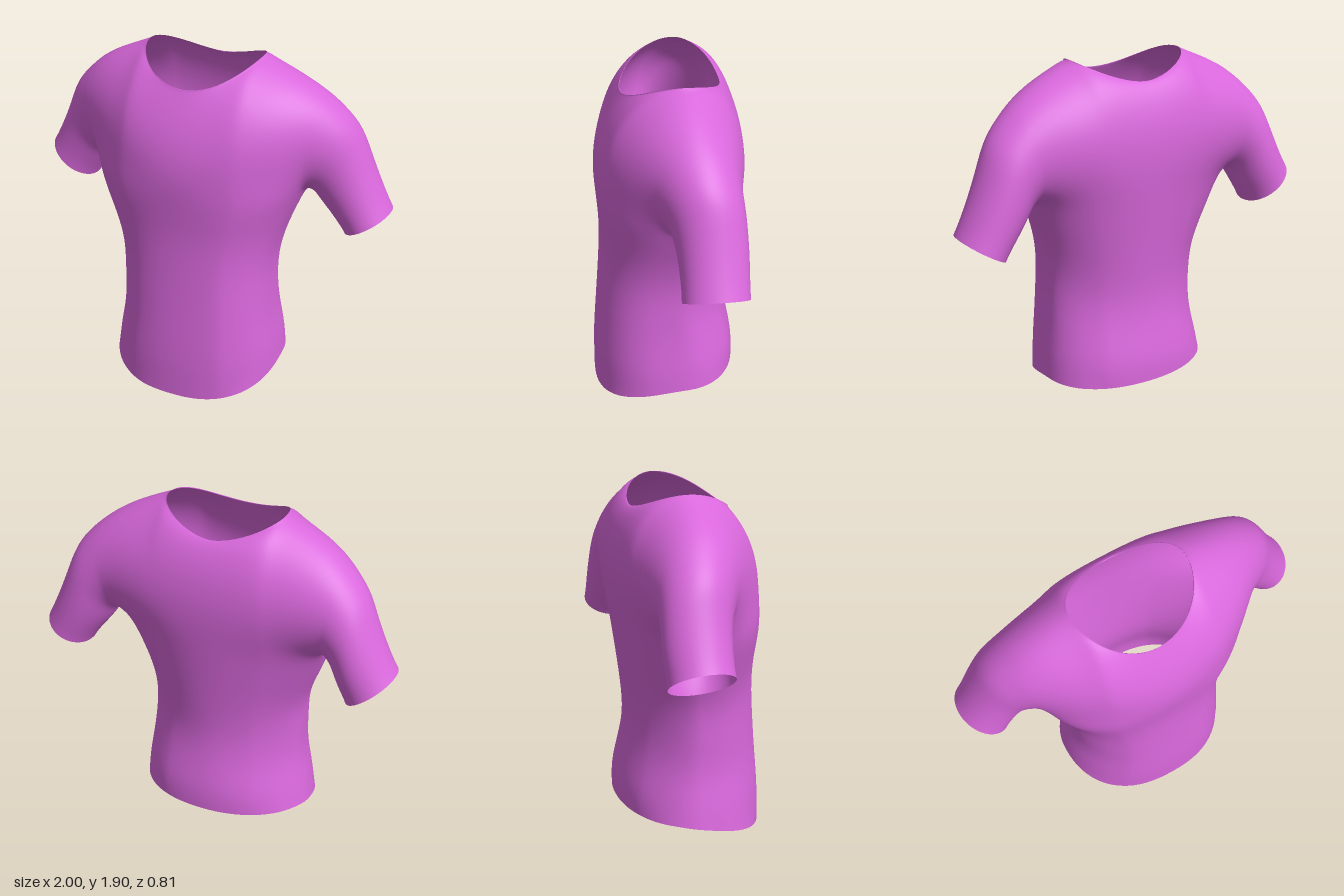
import * as THREE from 'three';
import { mergeVertices } from 'three/addons/utils/BufferGeometryUtils.js';

// Torso outline every 0.2 in height: left width, right width, front z, back z, side z,
// then roundness of the front left, front right, back left and back right quarters
const TORSO = [
  [0.455, 0.52, 0.405, -0.35, -0.03, 2.5, 2.25, 2.2, 2.0],
  [0.459, 0.503, 0.407, -0.396, -0.03, 2.6, 2.25, 2.35, 2.0],
  [0.432, 0.458, 0.392, -0.357, -0.02, 2.8, 2.25, 2.2, 1.85],
  [0.42, 0.46, 0.376, -0.331, -0.02, 2.9, 2.25, 1.85, 1.8],
  [0.422, 0.468, 0.362, -0.345, -0.03, 2.8, 2.25, 1.85, 1.85],
  [0.475, 0.545, 0.355, -0.367, -0.06, 2.7, 2.35, 1.85, 1.85],
  [0.55, 0.608, 0.372, -0.39, -0.1, 2.7, 2.7, 1.8, 1.8],
];
// Sections from neck to cuff: ridge x, y, z, underside x, y, front z, back z.
// The fourth row is the armpit, where the section closes into a sleeve.
const LEFT = [
  [0.3, 1.905, -0.08, 0.3, 1.2, 0.33, -0.39],
  [0.42, 1.855, -0.08, 0.42, 1.2, 0.268, -0.37],
  [0.55, 1.79, -0.09, 0.51, 1.2, 0.185, -0.345],
  [0.67, 1.705, -0.11, 0.55, 1.2, 0.11, -0.335],
  [0.785, 1.595, -0.13, 0.59, 1.19, 0.055, -0.34],
  [0.84, 1.485, -0.15, 0.63, 1.12, 0.025, -0.345],
  [0.905, 1.31, -0.16, 0.69, 1.05, 0.008, -0.348],
  [1.0, 1.1, -0.17, 0.76, 0.955, 0, -0.34],
];
const RIGHT = [
  [0.345, 1.905, -0.08, 0.345, 1.2, 0.31, -0.385],
  [0.47, 1.855, -0.08, 0.46, 1.2, 0.242, -0.365],
  [0.6, 1.79, -0.09, 0.56, 1.2, 0.16, -0.345],
  [0.7, 1.71, -0.11, 0.605, 1.2, 0.1, -0.335],
  [0.805, 1.605, -0.13, 0.64, 1.19, 0.05, -0.34],
  [0.855, 1.5, -0.15, 0.67, 1.14, 0.022, -0.345],
  [0.915, 1.36, -0.16, 0.7, 1.08, 0.008, -0.352],
  [1.0, 1.19, -0.17, 0.75, 0.995, 0, -0.34],
];
const ARMPIT = 3, ARMPIT_Y = 1.2, ROWS = 28;
const { lerp, clamp } = THREE.MathUtils;

// Smooth interpolation between the rows of a table
function sample(rows, t) {
  const last = rows.length - 1;
  t = clamp(t, 0, last);
  const i = Math.min(Math.floor(t), last - 1), f = t - i;
  const b = rows[i], c = rows[i + 1];
  const a = rows[Math.max(i - 1, 0)], d = rows[Math.min(i + 2, last)];
  return b.map((p, k) => {
    const m = (c[k] - a[k]) / 2, n = (d[k] - p) / 2, e = c[k] - p;
    return p + f * (m + f * (3 * e - 2 * m - n + f * (m + n - 2 * e)));
  });
}

// Point on the torso ring at height y; u runs -1..1 across, face is 1 front or -1 back
function torsoPoint(u, y, face) {
  const [l, r, zf, zb, zs, ...roundness] = sample(TORSO, y / 0.2);
  const n = roundness[(face > 0 ? 0 : 2) + (u > 0 ? 0 : 1)];
  const bulge = Math.pow(Math.max(0, 1 - Math.pow(Math.abs(u), n)), 1 / n);
  return [u * (u > 0 ? l : r), y, lerp(zs, face > 0 ? zf : zb, bulge)];
}

// Hem dips towards the front, a little more on the right
const hemY = (x, z) => 0.135 - 0.135 * Math.pow(clamp((z - 0.1 * x + 0.12) / 0.52, 0, 1), 1.4);

// One column between neck and cuff
function sideColumn(side, w) {
  const rows = side > 0 ? LEFT : RIGHT;
  const [tx, ty, tz, bx, by, zf, zb] = sample(rows, w);
  const u = side * Math.min(1, bx / rows[ARMPIT][3]);
  const open = clamp((ARMPIT - w) / ARMPIT, 0, 1);
  const make = (face) => ({
    top: [side * tx, ty, tz],
    bottom: w < ARMPIT ? torsoPoint(u, ARMPIT_Y, face)
      : [side * bx, by, lerp(-0.1, -0.17, (w - ARMPIT) / 4)],
    bulge: face > 0 ? zf : zb, open,
    peak: 0.5 - open * (face > 0 ? 0.2 : 0.1), low: 1 + open, high: 1 + 0.2 * open,
  });
  return { u, w, faces: { 1: make(1), [-1]: make(-1) } };
}

// One column below the neckline; k runs -1..1 across the opening
function neckColumn(k) {
  const corner = k > 0 ? LEFT[0] : RIGHT[0];
  const cx = (LEFT[0][0] - RIGHT[0][0]) / 2, r = (LEFT[0][0] + RIGHT[0][0]) / 2;
  const x = cx + r * k, dip = 1 - k * k, round = Math.sqrt(dip);
  const u = x > 0 ? x / LEFT[ARMPIT][3] : x / RIGHT[ARMPIT][3];
  const drop = { 1: 0.135 * dip, [-1]: 0.105 * (1 - Math.pow(Math.abs(k), 1.6)) };
  const make = (face) => ({
    top: [x, 1.905 - drop[face], lerp(-0.08, face > 0 ? 0.23 : -0.29, round)],
    bottom: torsoPoint(u, ARMPIT_Y, face),
    bulge: face > 0 ? lerp(corner[5], 0.382, dip) : lerp(corner[6], -0.409, dip), open: 1,
    peak: face > 0 ? lerp(0.3, 0.2, dip) : 0.4, low: 2, high: 1.2 + dip * (face > 0 ? 1.1 : 0.1),
  });
  return { u, w: 0, faces: { 1: make(1), [-1]: make(-1) } };
}

// Curve from the underside or chest line up to the ridge or neckline
function archPoint({ top, bottom, bulge, open, peak, low, high }, v) {
  const t = lerp((1 - Math.cos(v * Math.PI)) / 2, Math.sin((v * Math.PI) / 2), open);
  const q = t < peak ? 1 - t / peak : (t - peak) / (1 - peak);
  const s = Math.sqrt(Math.max(0, 1 - q * q));
  const z = t < peak ? lerp(bottom[2], bulge, Math.pow(s, low)) : lerp(top[2], bulge, Math.pow(s, high));
  return [lerp(bottom[0], top[0], t), lerp(bottom[1], top[1], t), z];
}

// Relax the cloth while holding the open edges in place
function relax(geometry, passes) {
  const pos = geometry.attributes.position, idx = geometry.index.array;
  const near = Array.from({ length: pos.count }, () => new Map());
  const link = (a, b) => near[a].set(b, (near[a].get(b) || 0) + 1);
  for (let i = 0; i < idx.length; i += 3) {
    for (let e = 0; e < 3; e++) {
      const a = idx[i + e], b = idx[i + ((e + 1) % 3)];
      if (a !== b) { link(a, b); link(b, a); }
    }
  }
  const held = near.map((m) => [...m.values()].includes(1));
  for (let p = 0; p < passes; p++) {
    const old = pos.array.slice();
    near.forEach((m, i) => {
      if (held[i]) return;
      for (let k = 0; k < 3; k++) {
        let sum = 0;
        for (const j of m.keys()) sum += old[j * 3 + k];
        pos.array[i * 3 + k] = lerp(old[i * 3 + k], sum / m.size, 0.5);
      }
    });
  }
}

function buildShirt() {
  // Columns from the right cuff across the neck to the left cuff
  const half = [];
  for (let i = 1; i <= 18; i++) half.push(ARMPIT * Math.sin((i / 18) * Math.PI / 2));
  for (let i = 1; i <= 18; i++) half.push(ARMPIT + (i / 18) * 4);
  const columns = half.map((w) => sideColumn(-1, w)).reverse();
  for (let i = -14; i <= 14; i++) columns.push(neckColumn(Math.sin((i / 28) * Math.PI)));
  columns.push(...half.map((w) => sideColumn(1, w)));
  const body = columns.filter((c) => c.w <= ARMPIT + 1e-6);

  const positions = [], index = [];
  const addGrid = (cols, face, pointAt) => {
    const start = positions.length / 3, n = ROWS + 1;
    cols.forEach((c) => {
      for (let j = 0; j <= ROWS; j++) positions.push(...pointAt(c, j / ROWS));
    });
    for (let i = 0; i < cols.length - 1; i++) {
      for (let j = 0; j < ROWS; j++) {
        const a = start + i * n + j, b = a + n;
        if (face > 0) index.push(a, b, b + 1, a, b + 1, a + 1);
        else index.push(a, b + 1, b, a, a + 1, b + 1);
      }
    }
  };
  for (const face of [1, -1]) {
    // Chest, shoulders and sleeves
    addGrid(columns, face, (c, v) => archPoint(c.faces[face], v));
    // Torso from hem to armpits
    addGrid(body, face, (c, v) => {
      const [x, , z] = torsoPoint(c.u, v * ARMPIT_Y, face);
      return torsoPoint(c.u, lerp(hemY(x, z), ARMPIT_Y, v), face);
    });
  }
  const geometry = new THREE.BufferGeometry();
  geometry.setAttribute('position', new THREE.Float32BufferAttribute(positions, 3));
  geometry.setIndex(index);
  const welded = mergeVertices(geometry, 1e-4);
  relax(welded, 14);
  welded.computeVertexNormals();
  return welded;
}

export function createModel() {
  const group = new THREE.Group();
  group.name = 'shirt';
  const fabric = new THREE.MeshStandardMaterial({ color: 0xd968dc, side: THREE.DoubleSide });
  const shirt = new THREE.Mesh(buildShirt(), fabric);
  shirt.name = 'shirtFabric';
  group.add(shirt);
  return group;
}
